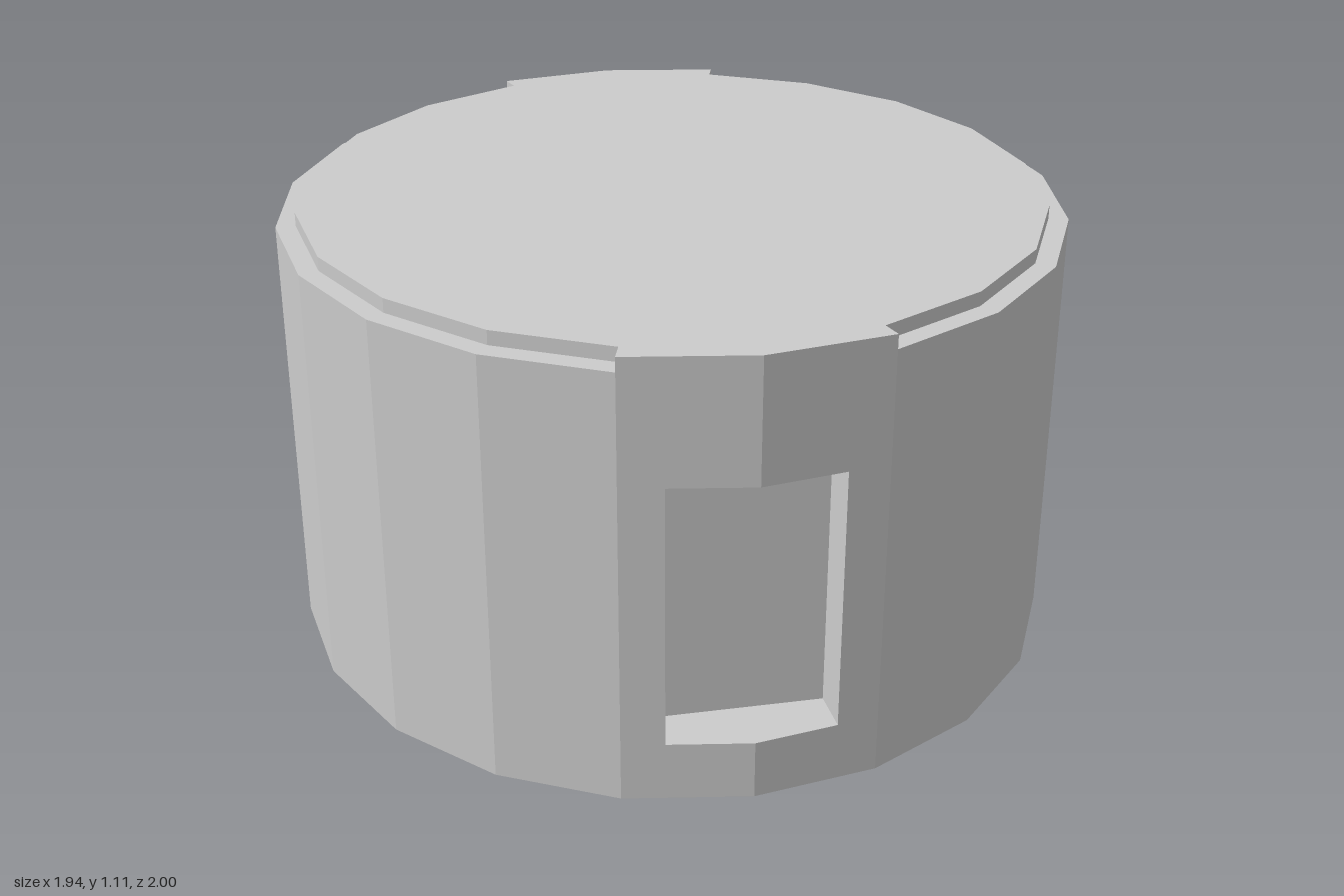
import * as THREE from 'three';

const SIDES = 20, X_SCALE = 0.97, INNER = 0.95;
const TOP = 1.11, LEDGE = 1.075;

// Corner i of the drum's outline at height y; i = 0 is the middle of the front
function corner(i, y, s = 1) {
  const a = (i / SIDES) * Math.PI * 2;
  return [s * X_SCALE * Math.sin(a), y, s * Math.cos(a)];
}

// Mesh from convex polygons, each a list of corners counter-clockwise from outside
function polyMesh(name, polys) {
  const pos = [];
  for (const p of polys)
    for (let i = 1; i < p.length - 1; i++) pos.push(...p[0], ...p[i], ...p[i + 1]);
  const geo = new THREE.BufferGeometry();
  geo.setAttribute('position', new THREE.Float32BufferAttribute(pos, 3));
  geo.computeVertexNormals();
  const mesh = new THREE.Mesh(geo, new THREE.MeshStandardMaterial({ color: 0xcccccc, flatShading: true }));
  mesh.name = name;
  return mesh;
}

// Vertical strip under the line from a to b ([x, z] pairs)
const strip = (a, b, y0, y1) => [[a[0], y0, a[1]], [b[0], y0, b[1]], [b[0], y1, b[1]], [a[0], y1, a[1]]];
const flat = (p) => [p[0], p[2]];

// Two-sided front bay with a recessed, slightly tapered niche
function makeBay() {
  const bay = new THREE.Group();
  bay.name = 'bay';
  const w = 0.2, y0 = 0.147, y1 = 0.803;
  const bw = 0.19, b0 = 0.155, b1 = 0.795, bz = 0.87;
  const L = flat(corner(-1, 0)), C = flat(corner(0, 0)), R = flat(corner(1, 0));
  const wz = 1 + (R[1] - 1) * (w / R[0]);
  const l = [-w, wz], r = [w, wz];

  bay.add(polyMesh('bayWall', [
    strip(L, l, 0, TOP), strip(r, R, 0, TOP),
    strip(l, C, 0, y0), strip(C, r, 0, y0),
    strip(l, C, y1, TOP), strip(C, r, y1, TOP),
  ]));

  const back = [[-bw, b0, bz], [bw, b0, bz], [bw, b1, bz], [-bw, b1, bz]];
  bay.add(polyMesh('nicheBack', [back]));
  bay.add(polyMesh('nicheReveal', [
    [[-w, y0, wz], [0, y0, 1], [w, y0, wz], back[1], back[0]],
    [[w, y1, wz], [0, y1, 1], [-w, y1, wz], back[3], back[2]],
    [[-w, y0, wz], back[0], back[3], [-w, y1, wz]],
    [[w, y1, wz], back[2], back[1], [w, y0, wz]],
  ]));
  return bay;
}

// Side wall between the bays, with its stepped ledge below the roof
function makeSide() {
  const side = new THREE.Group();
  side.name = 'side';
  const walls = [], ledges = [], risers = [];
  for (let i = 1; i < 9; i++) {
    walls.push(strip(flat(corner(i, 0)), flat(corner(i + 1, 0)), 0, LEDGE));
    ledges.push([corner(i, LEDGE), corner(i + 1, LEDGE), corner(i + 1, LEDGE, INNER), corner(i, LEDGE, INNER)]);
    risers.push(strip(flat(corner(i, 0, INNER)), flat(corner(i + 1, 0, INNER)), LEDGE, TOP));
  }
  // Ends of the step where it meets the bays
  risers.push(strip(flat(corner(1, 0)), flat(corner(1, 0, INNER)), LEDGE, TOP));
  risers.push(strip(flat(corner(9, 0, INNER)), flat(corner(9, 0)), LEDGE, TOP));
  side.add(polyMesh('sideWall', walls), polyMesh('ledge', ledges), polyMesh('roofEdge', risers));
  return side;
}

export function createModel() {
  const model = new THREE.Group();
  model.name = 'drumBuilding';

  // Front and back halves are the same, turned half a circle
  [['front', 'left', 0], ['back', 'right', Math.PI]].forEach(([bayName, sideName, turn]) => {
    const bay = makeBay(), side = makeSide();
    bay.name = bayName + 'Bay';
    side.name = sideName + 'Side';
    bay.rotation.y = side.rotation.y = turn;
    model.add(bay, side);
  });

  // Roof reaches the full outline over the bays only
  const roof = [], base = [];
  for (let i = -1; i < SIDES - 1; i++) {
    const s = [-1, 0, 9, 10].includes(i) ? 1 : INNER;
    roof.push([[0, TOP, 0], corner(i, TOP, s), corner(i + 1, TOP, s)]);
    base.push([[0, 0, 0], corner(i + 1, 0), corner(i, 0)]);
  }
  model.add(polyMesh('roof', roof), polyMesh('base', base));
  return model;
}
